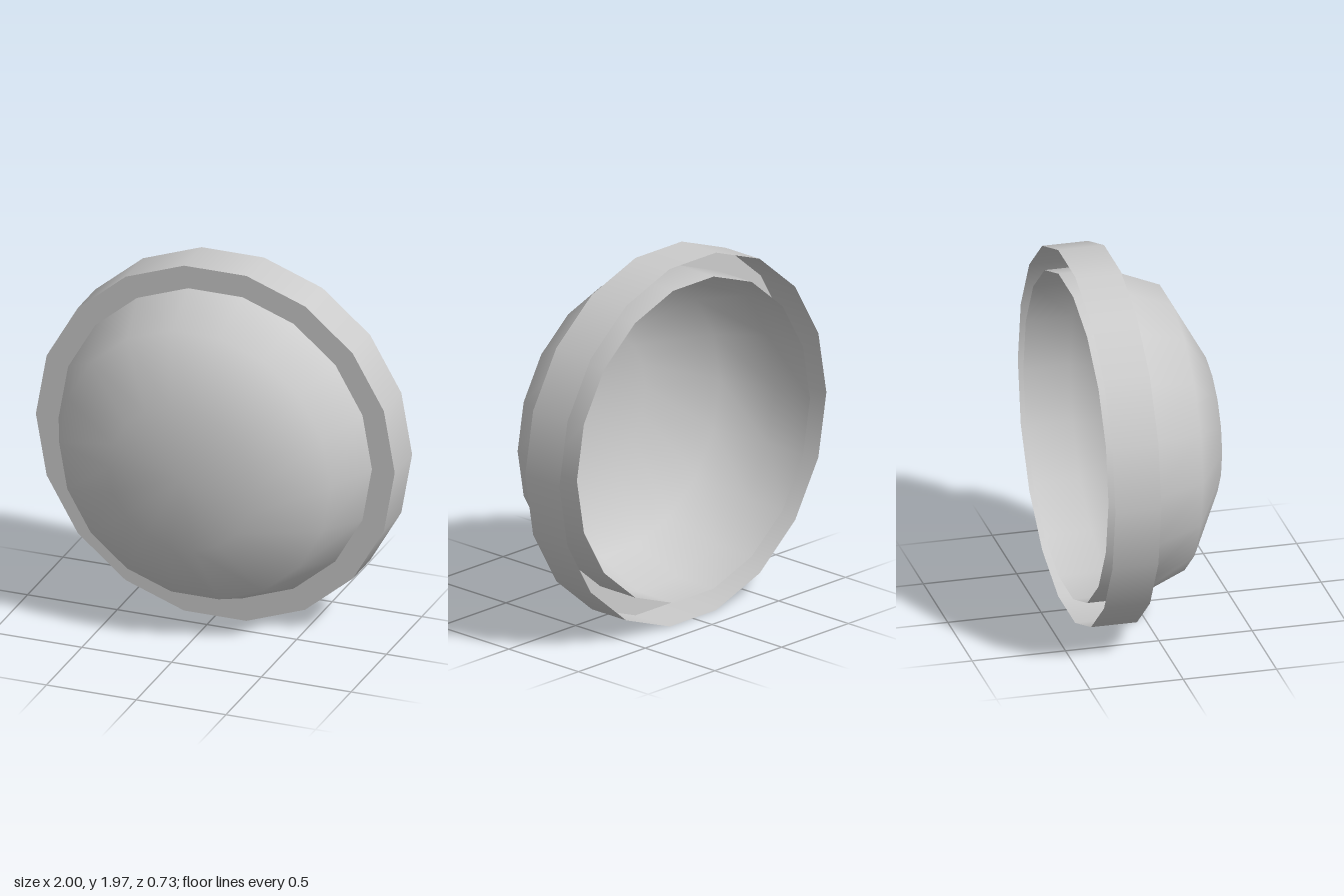
import * as THREE from 'three';

const SIDES = 18;
const CENTRE_Y = Math.cos(Math.PI / SIDES); // lowest flat rests on y = 0

export function createModel() {
  const group = new THREE.Group();
  group.name = 'domedCover';
  const material = new THREE.MeshStandardMaterial({ color: 0xcccccc, side: THREE.DoubleSide });

  // Revolve [radius, z] points (back to front) about the z axis
  const revolve = (name, profile) => {
    const points = profile.map(([r, z]) => new THREE.Vector2(r, z));
    const geometry = new THREE.LatheGeometry(points, SIDES, Math.PI / 2, Math.PI * 2);
    geometry.rotateX(Math.PI / 2);
    geometry.translate(0, CENTRE_Y, 0);
    const mesh = new THREE.Mesh(geometry, material);
    mesh.name = name;
    group.add(mesh);
  };

  // Thin bowl, open at the back, with a straight collar inside the rim
  revolve('dome', [[0.873, -0.367], [0.873, -0.117], [0.757, 0.17], [0.403, 0.365], [0, 0.365]]);

  // Rim: outer band and front flange, leaving an open groove at the back
  revolve('rimBand', [[1, -0.363], [1, -0.117]]);
  revolve('rimFlange', [[1, -0.117], [0.873, -0.117]]);

  return group;
}
